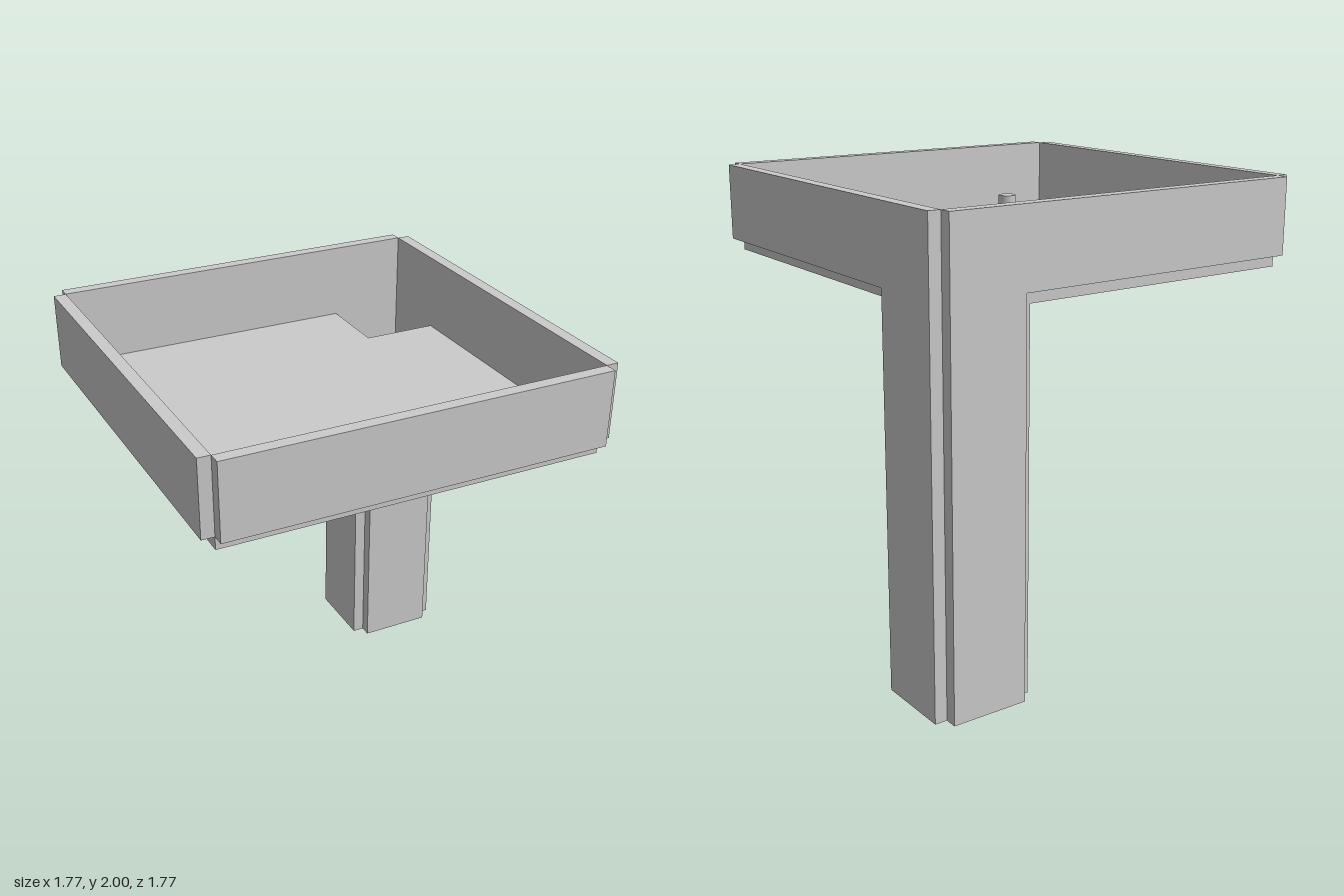
import * as THREE from 'three';

const IN = 0.833, OUT = 0.887;      // inner and outer face of the rim panels
const LEG_IN = 0.497, LEG_OUT = 0.444; // inner and outer face of the leg's tray-side panels
const FLOOR_Y = 1.615, RIM_Y = 1.67, TOP = 2;
const material = new THREE.MeshStandardMaterial({ color: 0xcccccc, flatShading: true });

// Box given by its minimum and maximum corners
function slab(name, [x0, y0, z0], [x1, y1, z1]) {
  const mesh = new THREE.Mesh(new THREE.BoxGeometry(x1 - x0, y1 - y0, z1 - z0), material);
  mesh.position.set((x0 + x1) / 2, (y0 + y1) / 2, (z0 + z1) / 2);
  mesh.name = name;
  return mesh;
}

function extrude(name, points, depth) {
  const shape = new THREE.Shape(points.map(([x, y]) => new THREE.Vector2(x, y)));
  const mesh = new THREE.Mesh(new THREE.ExtrudeGeometry(shape, { depth, bevelEnabled: false }), material);
  mesh.name = name;
  return mesh;
}

export function createModel() {
  const group = new THREE.Group();

  // Tray floor with a square corner notch above the hollow leg
  const floor = extrude('trayFloor', [
    [-IN, -IN], [IN, -IN], [IN, LEG_IN], [LEG_IN, LEG_IN], [LEG_IN, IN], [-IN, IN],
  ], RIM_Y - FLOOR_Y);
  floor.rotation.x = -Math.PI / 2;
  floor.position.y = FLOOR_Y;
  group.add(floor);

  // Straight rim panels
  group.add(slab('frontPanel', [-IN, RIM_Y, IN], [IN, TOP, OUT]));
  group.add(slab('rightPanel', [-OUT, RIM_Y, -IN], [-IN, TOP, IN]));

  // L-shaped rim panels that run down to form the outer leg faces
  const ell = [[-IN, RIM_Y], [LEG_IN, RIM_Y], [LEG_IN, 0], [IN, 0], [IN, TOP], [-IN, TOP]];
  const back = extrude('backPanelWithLeg', ell, OUT - IN);
  back.position.z = -OUT;
  const left = extrude('leftPanelWithLeg', ell, OUT - IN);
  left.rotation.y = Math.PI / 2;
  left.position.x = IN;
  group.add(back, left);

  // Inner leg faces, ending under the tray floor
  group.add(slab('legInnerSide', [LEG_OUT, 0, -IN], [LEG_IN, FLOOR_Y, -LEG_IN]));
  group.add(slab('legInnerFront', [LEG_IN, 0, -LEG_IN], [IN, FLOOR_Y, -LEG_OUT]));

  // Small block and peg standing on the floor
  group.add(slab('block', [-0.28, RIM_Y, 0.525], [-0.17, RIM_Y + 0.065, 0.635]));
  const peg = new THREE.Mesh(new THREE.CylinderGeometry(0.042, 0.042, 0.12, 32), material.clone());
  peg.material.flatShading = false;
  peg.position.set(-0.45, RIM_Y + 0.06, 0.58);
  peg.name = 'peg';
  group.add(peg);

  return group;
}
